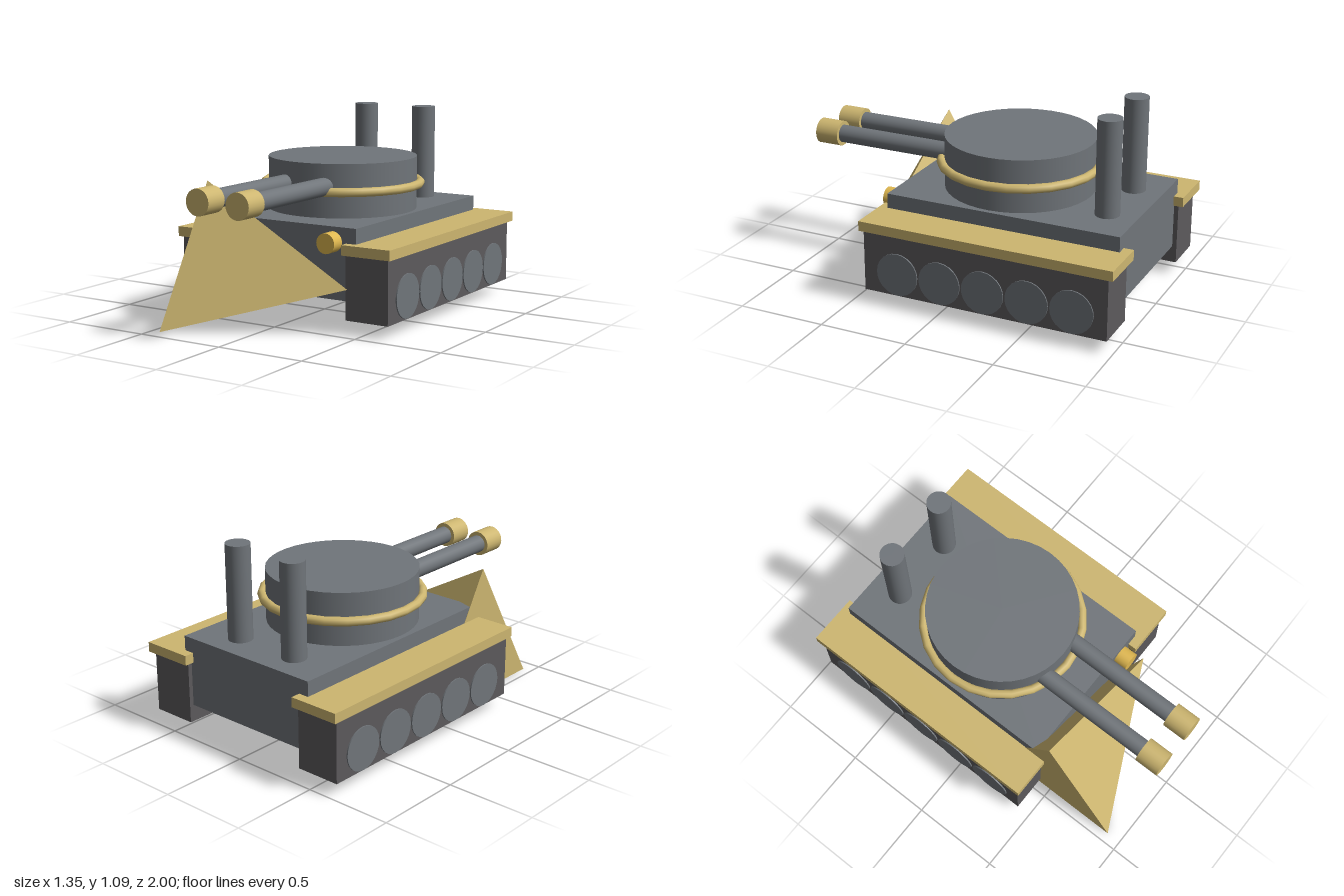
import * as THREE from 'three';

const mat = (color, extra = {}) => Object.assign(new THREE.MeshStandardMaterial(extra), { color: new THREE.Color(color) });

export function createModel() {
  const model = new THREE.Group();
  const steel = mat(0x70757a), dark = mat(0x5c5a5c);
  const gold = mat(0xcdb670), brass = mat(0xe0b850);
  const ram = mat(0xcdb670, { flatShading: true });

  const add = (name, geometry, material, x, y, z) => {
    const mesh = new THREE.Mesh(geometry, material);
    mesh.name = name;
    mesh.position.set(x, y, z);
    model.add(mesh);
    return mesh;
  };
  // Box given by its extents
  const box = (name, material, x0, x1, y0, y1, z0, z1) =>
    add(name, new THREE.BoxGeometry(x1 - x0, y1 - y0, z1 - z0), material, (x0 + x1) / 2, (y0 + y1) / 2, (z0 + z1) / 2);
  // Cylinder along a chosen axis, given by its centre
  const rod = (name, material, axis, r, length, x, y, z, sides = 24) => {
    const g = new THREE.CylinderGeometry(r, r, length, sides);
    if (axis === 'x') g.rotateZ(Math.PI / 2);
    if (axis === 'z') g.rotateX(Math.PI / 2);
    return add(name, g, material, x, y, z);
  };

  // Hull and turret
  box('hull', steel, -0.445, 0.445, 0.17, 0.56, -0.945, 0.4);
  rod('turret', steel, 'y', 0.417, 0.295, 0, 0.7075, -0.19, 40);
  const ring = new THREE.TorusGeometry(0.437, 0.025, 10, 24).rotateX(Math.PI / 2);
  add('turretRing', ring, gold, 0, 0.704, -0.19);

  for (const s of [-1, 1]) {
    const side = s > 0 ? 'left' : 'right';
    // Track block, fender and road wheels
    box(side + 'Track', dark, s * 0.5275 - 0.1275, s * 0.5275 + 0.1275, 0.075, 0.422, -0.97, 0.43);
    box(side + 'Fender', gold, s * 0.53 - 0.145, s * 0.53 + 0.145, 0.422, 0.477, -1, 0.45);
    for (let i = 0; i < 5; i++)
      rod(side + 'Wheel' + (i + 1), steel, 'x', 0.121, 0.267, s * 0.5285, 0.2, 0.23 - i * 0.2515);

    // Gun barrel with muzzle, and exhaust stack
    rod(side + 'Barrel', steel, 'z', 0.05, 0.8, s * 0.123, 0.73, 0.5);
    rod(side + 'Muzzle', gold, 'z', 0.071, 0.137, s * 0.123, 0.73, 0.9315);
    rod(side + 'Exhaust', steel, 'y', 0.067, 0.54, s * 0.194, 0.823, -0.777);
  }

  // Headlamp
  rod('headlamp', brass, 'z', 0.055, 0.09, 0.305, 0.48, 0.432);

  // Three-sided ram lying on its side, tip toward the left
  const cone = new THREE.ConeGeometry(0.502, 0.89, 3, 1, false, -Math.PI / 2).rotateZ(-Math.PI / 2);
  add('ram', cone, ram, -0.002, 0.253, 0.482);

  return model;
}
